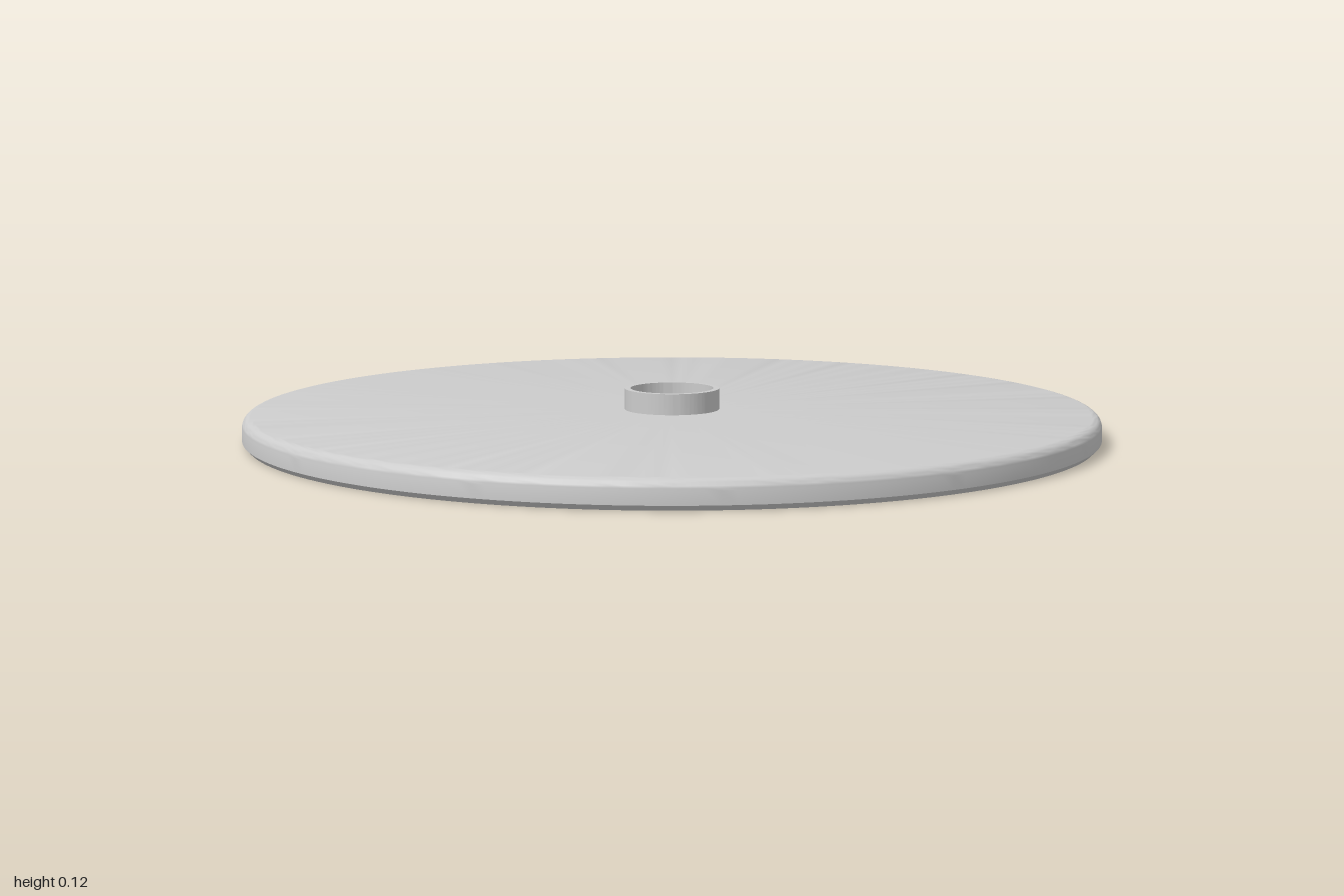
import * as THREE from 'three';
import { toCreasedNormals } from 'three/addons/utils/BufferGeometryUtils.js';

const RADIUS = 1, THICK = 0.067, ROUND = 0.025, CHAMFER = 0.012;
const HUB_OUTER = 0.111, HUB_INNER = 0.097, HUB_TOP = 0.116;

// Revolve a [radius, height] profile, keeping its corners sharp
function revolve(name, profile, segments) {
  const points = profile.map(([r, y]) => new THREE.Vector2(r, y));
  const geometry = toCreasedNormals(new THREE.LatheGeometry(points, segments), 0.5);
  const mesh = new THREE.Mesh(geometry, new THREE.MeshStandardMaterial({ color: 0xcccccc }));
  mesh.name = name;
  return mesh;
}

export function createModel() {
  const group = new THREE.Group();
  group.name = 'discWithHub';

  // Disc: flat underside, chamfered lower rim, rounded upper rim
  const rim = [];
  for (let i = 0; i <= 8; i++) {
    const a = (i / 8) * Math.PI / 2;
    rim.push([RADIUS - ROUND + ROUND * Math.cos(a), THICK - ROUND + ROUND * Math.sin(a)]);
  }
  group.add(revolve('disc', [
    [HUB_INNER, 0], [RADIUS - CHAMFER, 0], [RADIUS, CHAMFER],
    ...rim, [HUB_OUTER, THICK],
  ], 192));

  // Hub: raised collar whose bore runs through the disc
  group.add(revolve('hub', [
    [HUB_OUTER, THICK], [HUB_OUTER, HUB_TOP], [HUB_INNER, HUB_TOP], [HUB_INNER, 0],
  ], 192));

  return group;
}
